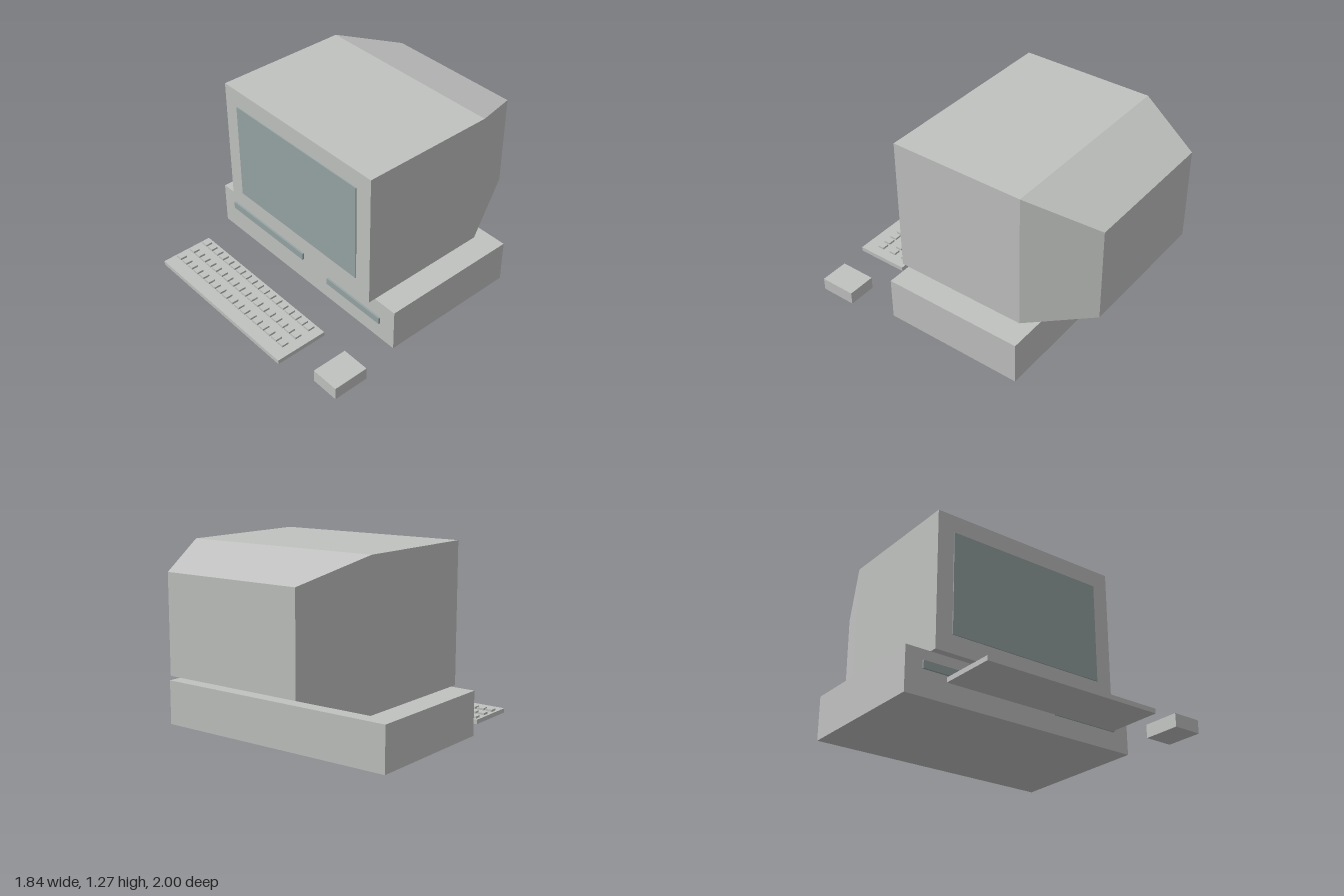
import * as THREE from 'three';

export function createModel() {
  const model = new THREE.Group();
  model.name = 'desktopComputer';

  const casing = new THREE.MeshStandardMaterial({ color: 0xc0c2c0 });
  casing.name = 'casing grey';
  const glass = new THREE.MeshStandardMaterial({ color: 0x96a4a4 });
  glass.name = 'dark teal grey';

  // Box given by its extents along each axis
  function addBox(name, material, [x0, x1], [y0, y1], [z0, z1], parent = model) {
    const mesh = new THREE.Mesh(new THREE.BoxGeometry(x1 - x0, y1 - y0, z1 - z0), material);
    mesh.position.set((x0 + x1) / 2, (y0 + y1) / 2, (z0 + z1) / 2);
    mesh.name = name;
    parent.add(mesh);
    return mesh;
  }

  // System unit with two drive slots
  addBox('systemUnit', casing, [-0.922, 0.843], [0, 0.305], [-0.645, 0.365]);
  addBox('wideDriveSlot', glass, [-0.8, -0.04], [0.178, 0.23], [0.36, 0.378]);
  addBox('narrowDriveSlot', glass, [0.21, 0.717], [0.13, 0.178], [0.36, 0.378]);

  // Monitor: a box with an extra ring, tapered behind that ring
  const width = 1.41, height = 0.962;
  const shell = new THREE.BoxGeometry(width, height, 2, 1, 1, 2);
  const p = shell.attributes.position;
  for (let i = 0; i < p.count; i++) {
    const z = p.getZ(i);
    if (z > 0.5) p.setZ(i, 0.415);
    else if (z > -0.5) p.setZ(i, -0.545);
    else p.setXYZ(i, p.getX(i) * 1.01 / width, p.getY(i) * 0.655 / height, -1);
  }
  const monitorGeometry = shell.toNonIndexed();
  monitorGeometry.computeVertexNormals();
  const monitor = new THREE.Mesh(monitorGeometry, casing);
  monitor.name = 'monitorCase';
  monitor.position.set(-0.04, 0.305 + height / 2, 0);
  model.add(monitor);

  addBox('screen', glass, [-0.625, 0.542], [0.432, 1.142], [0.414, 0.422]);

  // Keyboard with three rows of keys
  const keyboard = new THREE.Group();
  keyboard.name = 'keyboard';
  model.add(keyboard);
  addBox('keyboardBase', casing, [-0.8, 0.465], [0, 0.031], [0.62, 1], keyboard);
  for (const z of [0.642, 0.75, 0.858]) {
    for (let i = 0; i < 18; i++) {
      const x = -0.78 + i * 0.0661;
      addBox('key', casing, [x, x + 0.05], [0.03, 0.046], [z, z + 0.05], keyboard);
    }
  }

  // Mouse
  addBox('mouse', casing, [0.72, 0.922], [0, 0.09], [0.668, 0.922]);

  return model;
}
